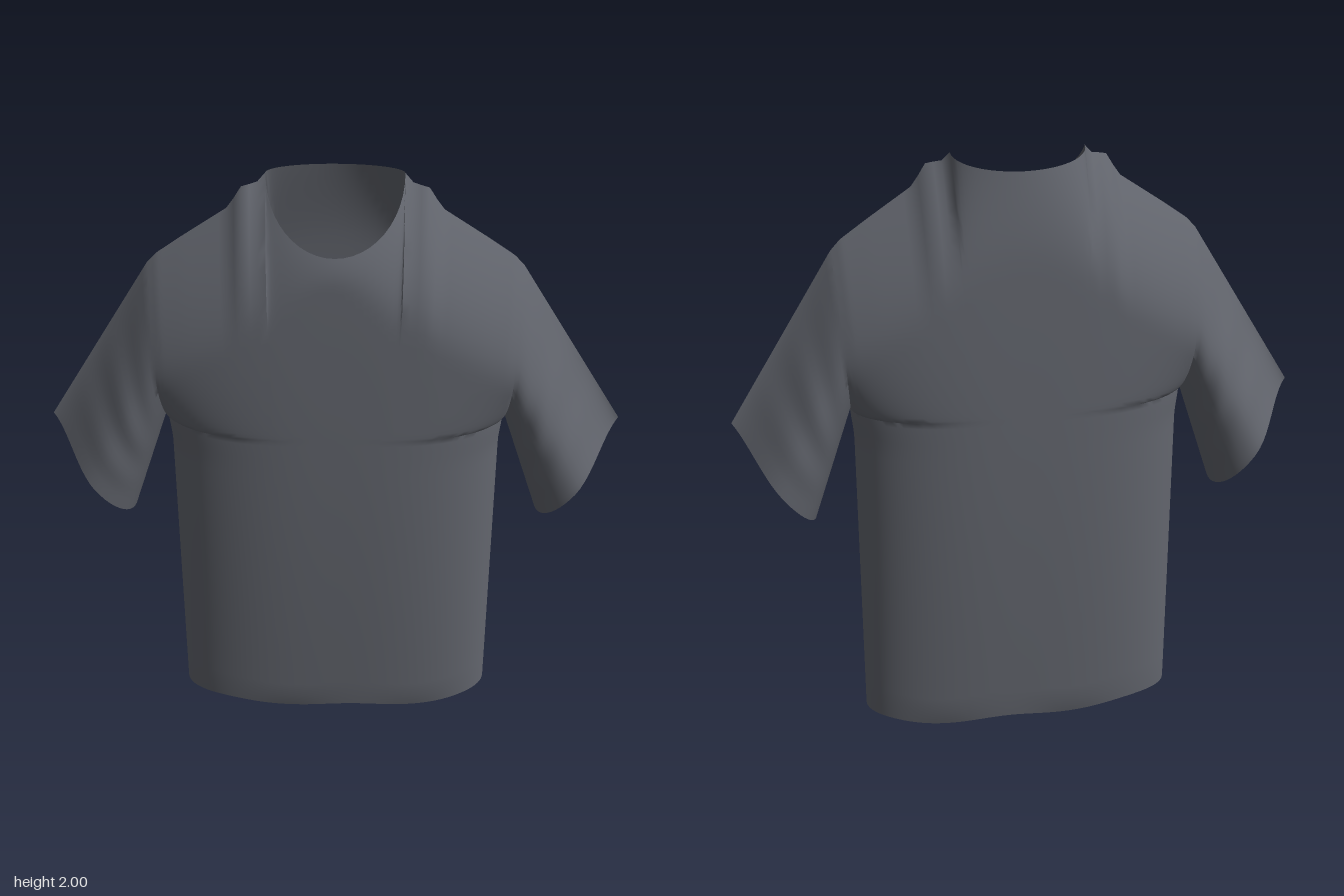
import * as THREE from 'three';
import { mergeGeometries, mergeVertices, toCreasedNormals } from 'three/addons/utils/BufferGeometryUtils.js';

const NECK = 12, SHOULDER = 24, COLS = NECK + SHOULDER; // columns per half
const LOW = 26, HIGH = 26, ROWS = LOW + HIGH;           // rows below / above the armpit
const ARMPIT = 1.2, HALF = 0.56;
const lerp = THREE.MathUtils.lerp;

// Shoulder outline from the collar to the sleeve head
const shoulder = [[0.2, 2.0], [0.222, 1.975], [0.27, 1.965], [0.31, 1.9], [0.45, 1.805], [0.53, 1.748], [0.56, 1.715]];
function shoulderY(x) {
  let i = 1;
  while (i < shoulder.length - 1 && x > shoulder[i][0]) i++;
  const [a, b] = [shoulder[i - 1], shoulder[i]];
  return lerp(a[1], b[1], (x - a[0]) / (b[0] - a[0]));
}

// Top of a body column: on the neck rim or on the shoulder seam
function columnTop(a, side) {
  if (a <= NECK) {
    const th = (a / NECK) * Math.PI / 2, c = Math.cos(th), s = Math.sin(th);
    return side > 0
      ? { x: 0.2 * s, y: 2 - 0.18 * c, z: -0.02 + 0.18 * c, fall: 0.08 + 0.3 * s * s }
      : { x: 0.2 * s, y: 2 - 0.03 * c, z: -0.02 - 0.12 * c, fall: 0.28 + 0.1 * s * s };
  }
  const k = (a - NECK) / SHOULDER;
  const x = 0.2 + (HALF - 0.2) * Math.sin(k * Math.PI / 2);
  return { x, y: shoulderY(x), z: -0.02 * Math.max(0, 1 - (x - 0.2) / 0.06), fall: 0.38 };
}

const upperT = (j) => (1 - Math.cos(Math.PI * (j - LOW) / HIGH)) / 2;

// Point on the front (side = 1) or back (side = -1) of the body
function bodyPoint(side, i, j) {
  const a = Math.abs(i), sign = Math.sign(i);
  const top = columnTop(a, side);
  const u = top.x / HALF;
  let x, y, edge = 0, n = 3, q = 0.5;
  if (j <= LOW) {
    const f = 1 - Math.pow(1 - j / LOW, 1.3);
    const hem = 0.012 + 0.01 * Math.cos(2 * Math.PI * (sign * u * 0.535 - 0.065) / 0.45);
    y = lerp(hem, ARMPIT, f);
    x = u * (0.537 - 0.016 * f + 0.01 * THREE.MathUtils.smoothstep(y, 1.08, 1.2));
  } else {
    const t = upperT(j);
    y = lerp(ARMPIT, top.y, t);
    x = u * lerp(0.531, HALF, t);
    const r = 1 - Math.min(1, t / 0.5);
    edge = 0.15 * Math.sqrt(1 - r * r);
    q = lerp(0.5, 1, Math.min(1, t / 0.4));
  }
  let depth = 0.165 + 0.032 * Math.sin(Math.PI * y / 2.1);
  depth -= 0.014 * Math.pow(Math.max(0, 1 - y / 0.05), 2); // rolled hem
  const full = side * (edge + (depth - edge) * Math.pow(Math.max(0, 1 - Math.pow(u, n)), q));
  const d = 1 - Math.min(1, (top.y - y) / top.fall);
  return [sign * x, y, top.z + (full - top.z) * (1 - d * d)];
}

// Cuff opening: rounded below, drawn to a point at the top
function cuffDepth(t) {
  if (t < 0.43) return 0.15 * Math.sqrt(1 - Math.pow((0.43 - t) / 0.43, 2));
  return 0.15 * Math.pow(Math.max(0, 0.5 + 0.5 * Math.cos(Math.PI * (t - 0.43) / 0.57)), 0.85);
}

// Point on a sleeve, lofted from the armhole to the cuff
function sleevePoint(side, mirror, s, j) {
  const arm = bodyPoint(side, COLS, j), t = upperT(j);
  const ripple = 0.004 * Math.sin(s * 19) * Math.sin(Math.PI * t) * Math.sin(Math.PI * s);
  return [
    mirror * lerp(arm[0], lerp(0.66, 0.9, t), s),
    lerp(arm[1], lerp(0.815, 1.168, t), s),
    lerp(arm[2], side * cuffDepth(t), s) + side * ripple,
  ];
}

// Grid surface; flip reverses the facing
function grid(nu, nv, flip, point) {
  const pos = [], idx = [], w = nu + 1;
  for (let j = 0; j <= nv; j++) for (let i = 0; i <= nu; i++) pos.push(...point(i, j));
  for (let j = 0; j < nv; j++) for (let i = 0; i < nu; i++) {
    const a = j * w + i, b = a + 1, c = a + w, d = c + 1;
    if (flip) idx.push(a, d, b, a, c, d);
    else idx.push(a, b, d, a, d, c);
  }
  const g = new THREE.BufferGeometry();
  g.setAttribute('position', new THREE.Float32BufferAttribute(pos, 3));
  g.setIndex(idx);
  return g;
}

export function createModel() {
  const fabric = new THREE.MeshStandardMaterial({ color: 0x62656d });
  fabric.name = 'charcoalFabric';
  fabric.side = THREE.DoubleSide;

  // Front and back panels with both sleeves, sewn into one smooth cloth
  const panels = [];
  const SLEEVE = 20;
  for (const side of [1, -1]) {
    panels.push(grid(2 * COLS, ROWS, side < 0, (i, j) => bodyPoint(side, i - COLS, j)));
    for (const mirror of [1, -1]) {
      panels.push(grid(SLEEVE, HIGH, side * mirror < 0,
        (i, j) => sleevePoint(side, mirror, i / SLEEVE, j + LOW)));
    }
  }
  const cloth = toCreasedNormals(mergeVertices(mergeGeometries(panels), 1e-4), 0.9);

  const shirt = new THREE.Mesh(cloth, fabric);
  shirt.name = 'shirtBodyAndSleeves';
  const group = new THREE.Group();
  group.name = 'shirt';
  group.add(shirt);
  return group;
}
